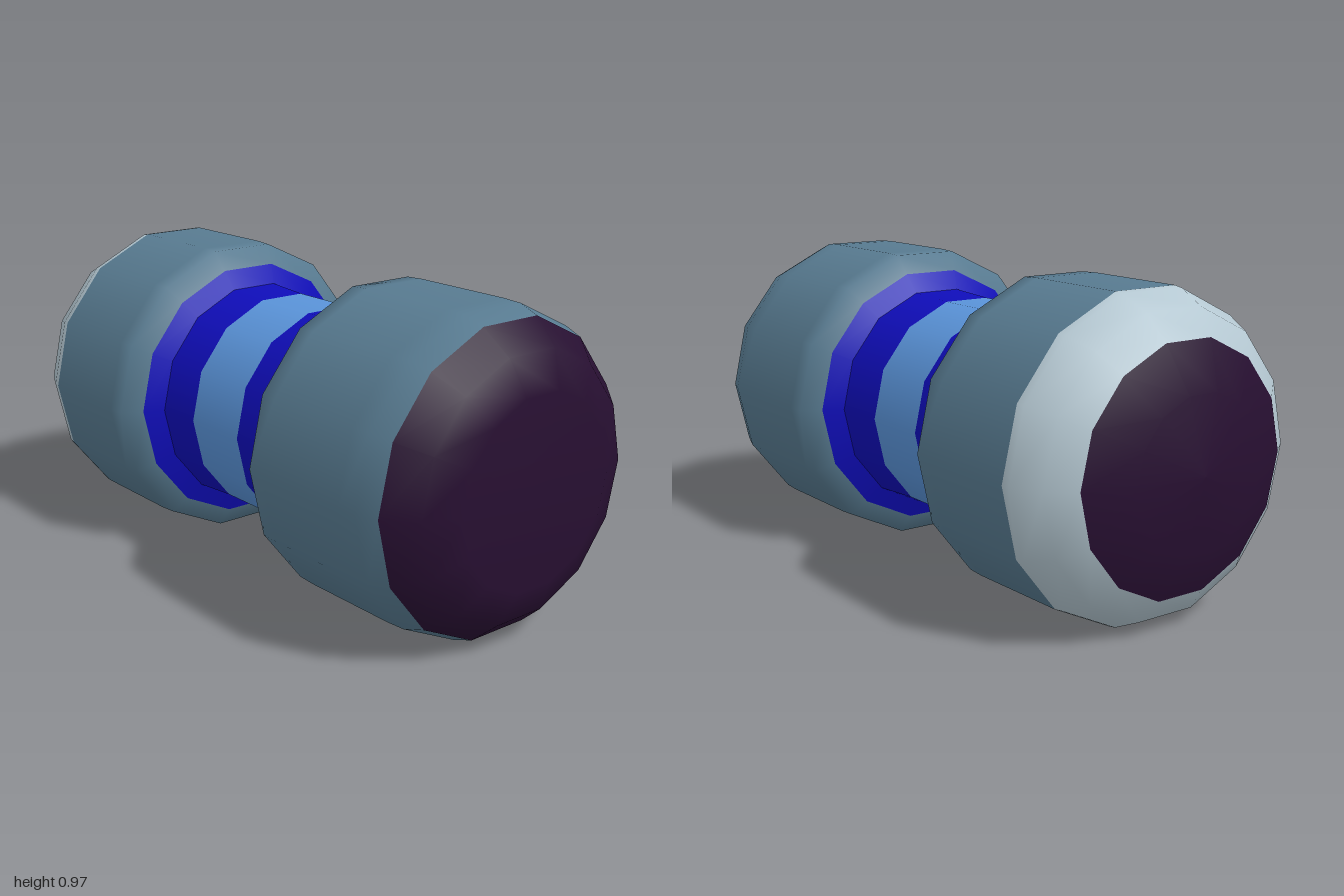
import * as THREE from 'three';

const SIDES = 14;
const AXIS_Y = 0.483;

const paint = (name, color) => {
  const m = new THREE.MeshStandardMaterial({ color });
  m.name = name;
  return m;
};

export function createModel() {
  const model = new THREE.Group();
  model.name = 'dumbbellCapsule';

  const slate = paint('slate', 0x587b91);
  const paleGrey = paint('paleGrey', 0xb5c8d2);
  const deepBlue = paint('deepBlue', 0x0f0dba);
  const skyBlue = paint('skyBlue', 0x5a94da);
  const darkPurple = paint('darkPurple', 0x270f31);

  // Turn a [z, radius] profile, listed from back to front, around the long axis
  const turn = (name, material, profile) => {
    const points = profile.map(([z, r]) => new THREE.Vector2(r, z));
    const geometry = new THREE.LatheGeometry(points, SIDES, Math.PI / 2);
    geometry.rotateX(Math.PI / 2);
    const mesh = new THREE.Mesh(geometry, material);
    mesh.name = name;
    mesh.position.y = AXIS_Y;
    model.add(mesh);
  };

  // Back end: domed cap, pale rounded rim, drum
  turn('backCap', darkPurple, [[-1, 0], [-0.98, 0.23], [-0.918, 0.37]]);
  turn('backRim', paleGrey, [[-0.918, 0.37], [-0.86, 0.447], [-0.77, 0.49], [-0.745, 0.494]]);
  turn('backDrum', slate, [[-0.745, 0.494], [-0.4, 0.495], [-0.34, 0.492], [-0.305, 0.43]]);

  // Waist: sloped shoulders, dark bands and a light grip between them
  turn('backShoulder', deepBlue, [[-0.305, 0.43], [-0.275, 0.368]]);
  turn('backBand', deepBlue, [[-0.275, 0.368], [-0.125, 0.359]]);
  turn('grip', skyBlue, [[-0.125, 0.359], [0.108, 0.359]]);
  turn('frontBand', deepBlue, [[0.108, 0.359], [0.282, 0.368]]);
  turn('frontShoulder', deepBlue, [[0.282, 0.368], [0.316, 0.43]]);

  // Front end: drum and blunt cap
  turn('frontDrum', slate, [[0.316, 0.43], [0.35, 0.492], [0.41, 0.495], [0.74, 0.495], [0.805, 0.492], [0.872, 0.469]]);
  turn('frontCap', darkPurple, [[0.872, 0.469], [0.955, 0.395], [1, 0.287], [1, 0]]);

  return model;
}
